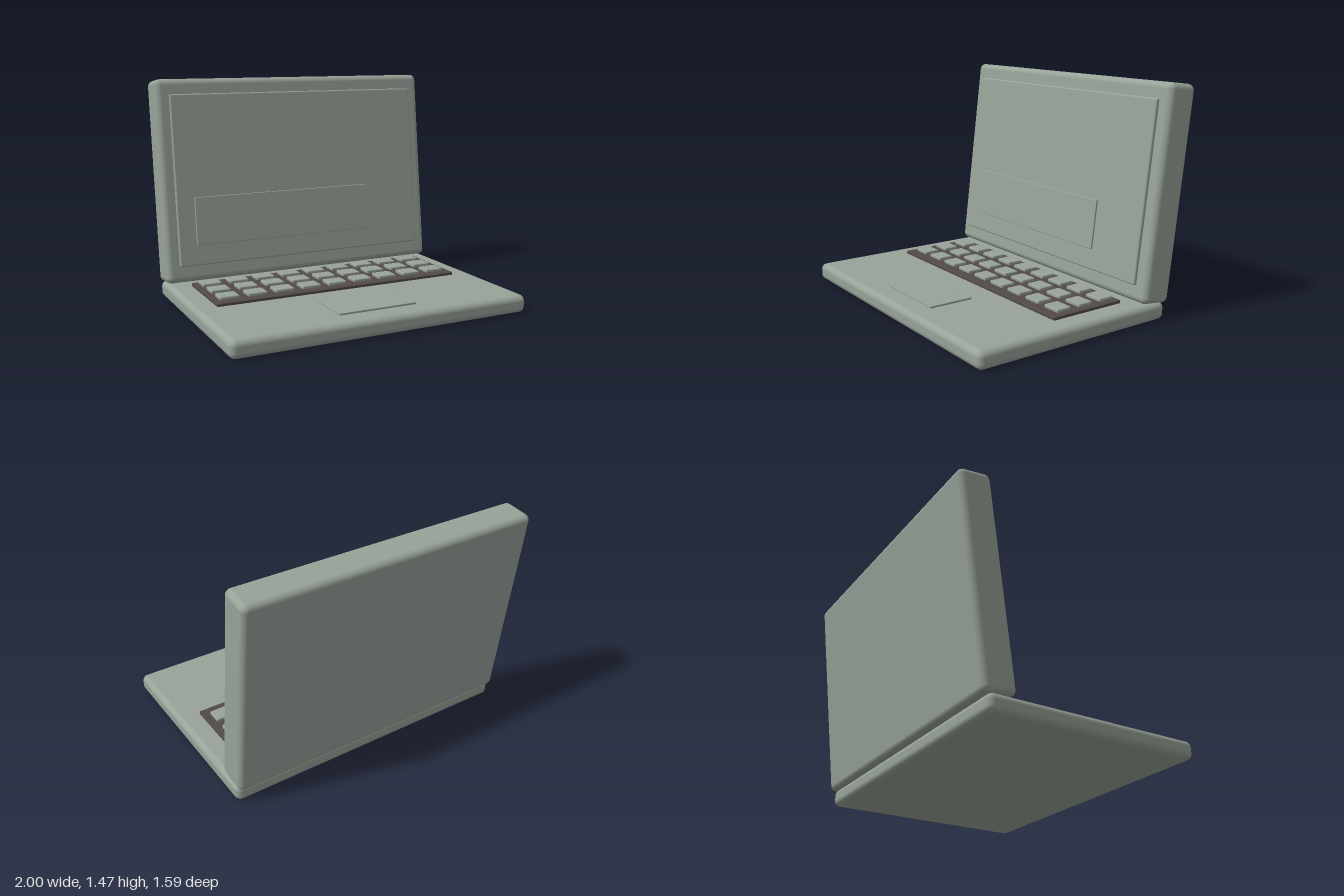
import * as THREE from 'three';
import { RoundedBoxGeometry } from 'three/addons/geometries/RoundedBoxGeometry.js';

export function createModel() {
  const model = new THREE.Group();
  model.name = 'laptop';
  const shell = new THREE.MeshStandardMaterial({ name: 'greyGreen', color: 0x98a399 });
  const dark = new THREE.MeshStandardMaterial({ name: 'darkBrown', color: 0x524a48 });

  // Rounded slab given by its size, centre and edge radius
  function slab(parent, name, material, [w, h, d], [x, y, z], radius) {
    const mesh = new THREE.Mesh(new RoundedBoxGeometry(w, h, d, 4, radius), material);
    mesh.name = name;
    mesh.position.set(x, y, z);
    parent.add(mesh);
    return mesh;
  }

  // Lower body with trackpad and key bed
  slab(model, 'base', shell, [2, 0.115, 1.402], [0, 0.0575, 0.097], 0.04);
  slab(model, 'trackpad', shell, [0.53, 0.028, 0.3], [0, 0.114, 0.5], 0.004);
  slab(model, 'keyBed', dark, [1.715, 0.04, 0.53], [0, 0.115, -0.095], 0.008);

  // Three rows of nine keys
  const keys = new THREE.Group();
  keys.name = 'keys';
  model.add(keys);
  for (let row = 0; row < 3; row++) {
    for (let col = 0; col < 9; col++) {
      slab(keys, 'key', shell, [0.13, 0.034, 0.106],
        [-0.754 + col * 0.1875, 0.137, -0.281 + row * 0.167], 0.008);
    }
  }

  // Lid leaning back, carrying the screen and a raised window
  const lid = new THREE.Group();
  lid.name = 'lid';
  lid.position.set(0, 0.785, -0.61);
  lid.rotation.x = -0.122;
  model.add(lid);
  slab(lid, 'lidShell', shell, [2, 1.36, 0.216], [0, 0, 0], 0.04);
  slab(lid, 'screen', shell, [1.825, 1.148, 0.04], [0, 0.002, 0.109], 0.01);
  slab(lid, 'screenWindow', shell, [1.3, 0.323, 0.02], [-0.14, -0.275, 0.131], 0.004);

  return model;
}
